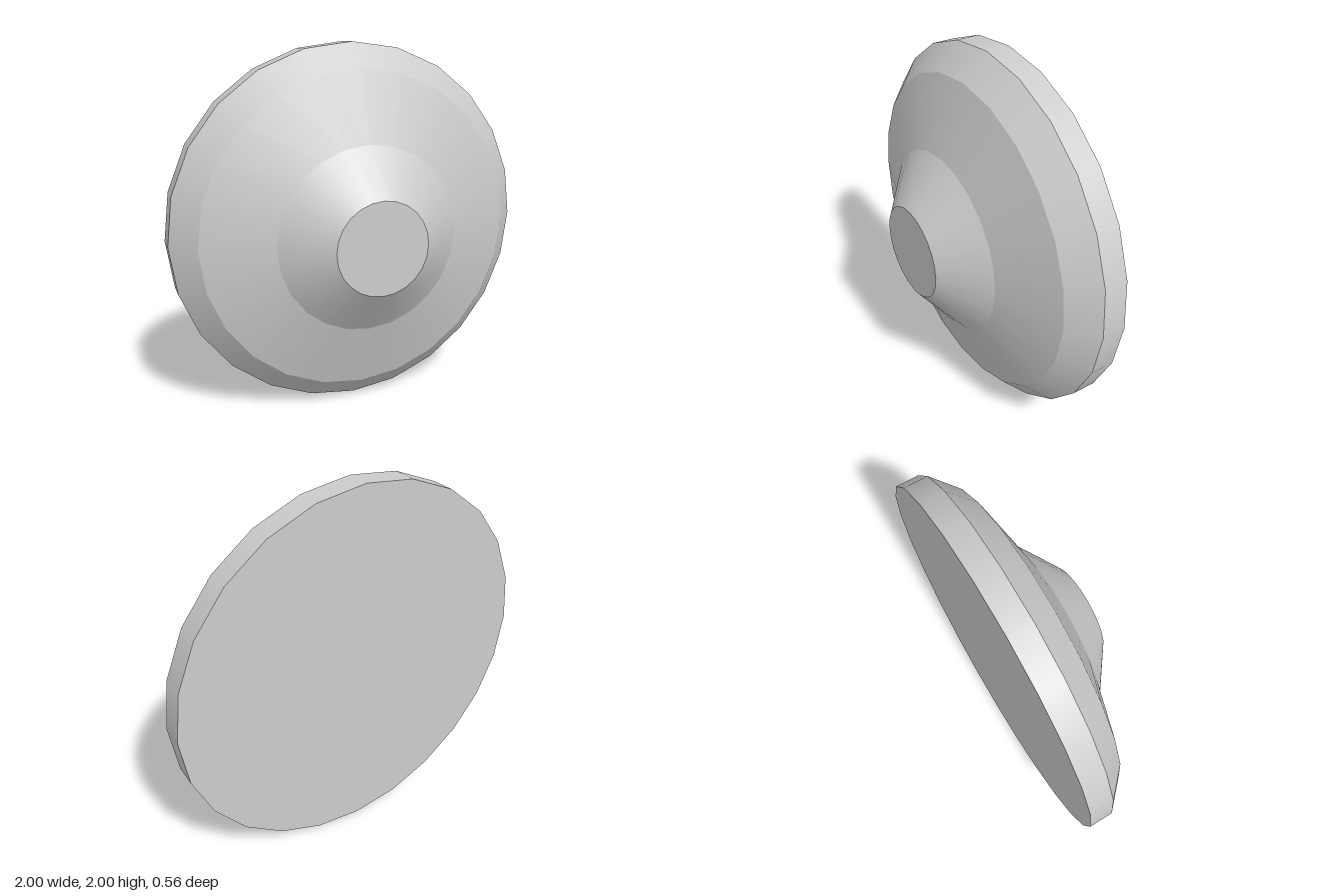
import * as THREE from 'three';

// Profile as [radius, depth along z], from the back centre to the front centre.
const PROFILE = [
  [0, -0.28], [1, -0.28], [1, -0.155], [0.87, -0.03],
  [0.5, 0.095], [0.25, 0.28], [0, 0.28],
];
const BANDS = ['backFace', 'rim', 'rimBevel', 'dish', 'hubCone', 'hubFace'];
const SIDES = 24;

export function createModel() {
  const group = new THREE.Group();
  group.name = 'steppedDisc';
  const grey = new THREE.MeshStandardMaterial({ color: 0xcccccc });
  grey.name = 'light grey';

  // One lathe per band: smooth around the axis, sharp between bands.
  BANDS.forEach((name, i) => {
    const points = [PROFILE[i], PROFILE[i + 1]].map(([r, z]) => new THREE.Vector2(r, z));
    const geometry = new THREE.LatheGeometry(points, SIDES);
    geometry.rotateX(Math.PI / 2); // lathe axis to +z
    const mesh = new THREE.Mesh(geometry, grey);
    mesh.name = name;
    mesh.position.y = 1;
    group.add(mesh);
  });
  return group;
}
